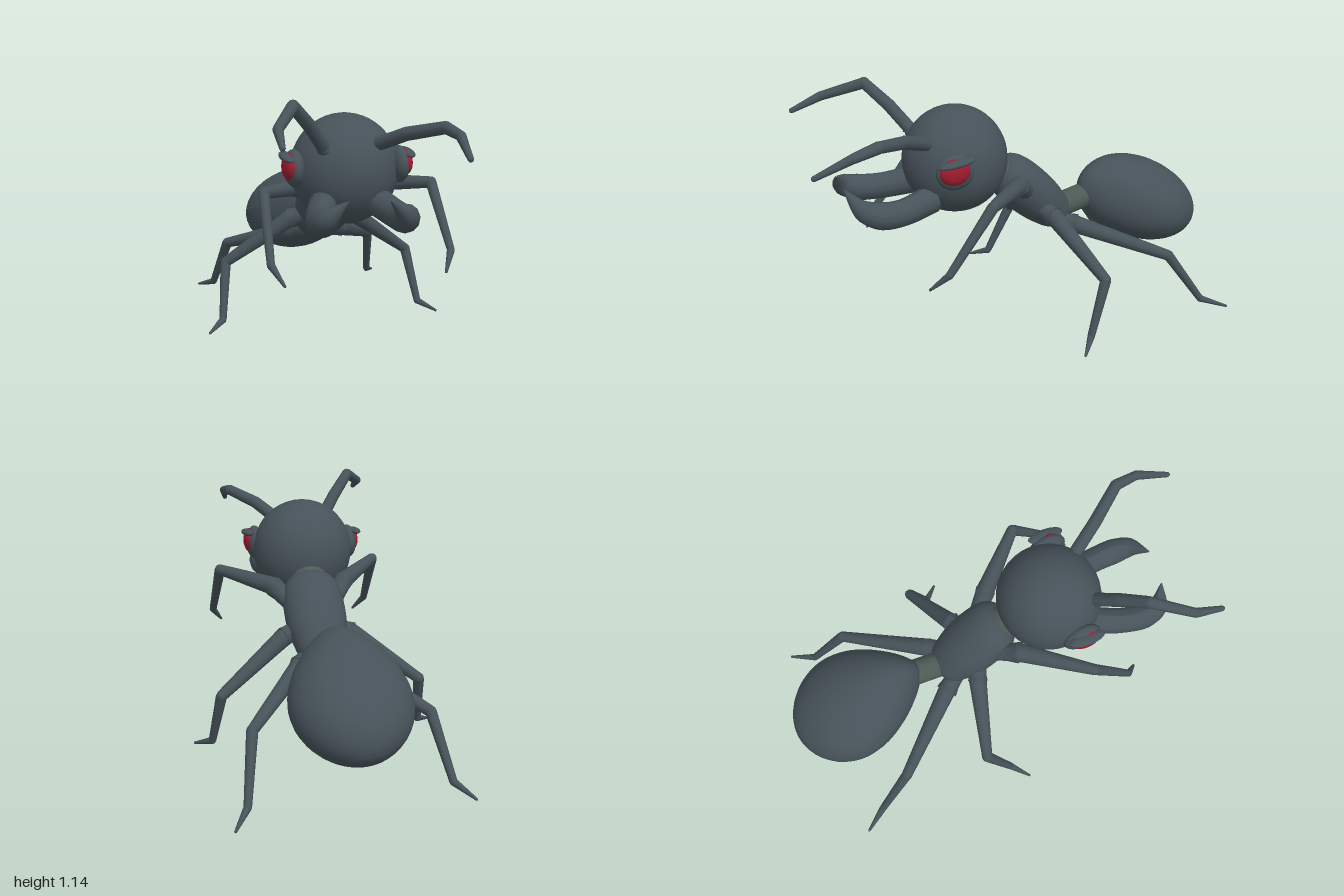
import * as THREE from 'three';

const shell = new THREE.MeshStandardMaterial({ color: 0x465259 });
shell.name = 'slate shell';
const red = new THREE.MeshStandardMaterial({ color: 0xa01c30 });
red.name = 'eye red';
const joint = new THREE.MeshStandardMaterial({ color: 0x4c5a55 });
joint.name = 'joint green grey';

const V = (p) => new THREE.Vector3(...p);

function add(parent, name, geometry, material = shell) {
  const mesh = new THREE.Mesh(geometry, material);
  mesh.name = name;
  parent.add(mesh);
  return mesh;
}

function ellipsoid(parent, name, center, radii, material = shell, segments = 24) {
  const mesh = add(parent, name, new THREE.SphereGeometry(1, segments, Math.ceil(segments * 0.7)), material);
  mesh.position.set(...center);
  mesh.scale.set(...radii);
  return mesh;
}

// Tapered rod between two points
function rod(parent, name, a, b, ra, rb, material = shell, sides = 10) {
  const from = V(a), dir = V(b).sub(from);
  const mesh = add(parent, name, new THREE.CylinderGeometry(rb, ra, dir.length(), sides), material);
  mesh.position.copy(from).addScaledVector(dir, 0.5);
  mesh.quaternion.setFromUnitVectors(new THREE.Vector3(0, 1, 0), dir.normalize());
  return mesh;
}

// Chain of rods with a ball at each bend
function limb(parent, name, points, radii) {
  const group = new THREE.Group();
  group.name = name;
  parent.add(group);
  points.forEach((p, i) => {
    if (i > 0) rod(group, 'segment', points[i - 1], p, radii[i - 1], radii[i]);
    ellipsoid(group, 'joint', p, [radii[i], radii[i], radii[i]], shell, 10);
  });
  return group;
}

// Curved tube whose rings shrink along its length
function taperedTube(parent, name, points, radii) {
  const curve = new THREE.CatmullRomCurve3(points.map(V));
  const rings = 24, sides = 12;
  const geo = new THREE.TubeGeometry(curve, rings, 1, sides);
  const pos = geo.attributes.position, v = new THREE.Vector3();
  for (let i = 0; i <= rings; i++) {
    const t = curve.getUtoTmapping(i / rings) * (radii.length - 1);
    const k = Math.min(Math.floor(t), radii.length - 2);
    const r = THREE.MathUtils.lerp(radii[k], radii[k + 1], t - k);
    const c = curve.getPointAt(i / rings);
    for (let j = 0; j <= sides; j++) {
      const n = i * (sides + 1) + j;
      v.fromBufferAttribute(pos, n).sub(c).multiplyScalar(r).add(c);
      pos.setXYZ(n, v.x, v.y, v.z);
    }
  }
  geo.computeVertexNormals();
  return add(parent, name, geo);
}

function buildBody(model) {
  // Abdomen: tilted ellipsoid, widest behind its middle
  const geo = new THREE.SphereGeometry(1, 36, 28);
  const pos = geo.attributes.position;
  for (let i = 0; i < pos.count; i++) {
    const u = pos.getY(i);
    pos.setXYZ(i, pos.getX(i) * 0.2 * (1.25 + 0.3 * u - 0.25 * u * u), u * 0.34, pos.getZ(i) * 0.2);
  }
  geo.computeVertexNormals();
  const abdomen = add(model, 'abdomen', geo);
  abdomen.position.set(0, 0.44, -0.68);
  abdomen.rotation.x = Math.atan2(-0.906, -0.423);

  // Thorax: capsule sloping down to the back
  const profile = new THREE.SplineCurve([
    [0, -0.06], [0.06, -0.045], [0.1, 0], [0.115, 0.08], [0.115, 0.2],
    [0.1, 0.3], [0.075, 0.37], [0, 0.4],
  ].map(([r, t]) => new THREE.Vector2(r, t))).getPoints(28);
  profile.forEach((p) => { p.x = Math.max(0, p.x); });
  const thorax = add(model, 'thorax', new THREE.LatheGeometry(profile, 28));
  thorax.position.set(0, 0.7, 0.03);
  thorax.rotation.x = Math.atan2(-0.72, -0.69);
  thorax.scale.x = 1.2;

  rod(model, 'waist', [0, 0.47, -0.22], [0, 0.51, -0.42], 0.06, 0.06, joint, 16);
  rod(model, 'neck', [0, 0.66, -0.02], [-0.01, 0.74, 0.14], 0.08, 0.09, joint, 16);
}

function buildHead(model) {
  const head = new THREE.Group();
  head.name = 'headGroup';
  model.add(head);
  ellipsoid(head, 'head', [-0.015, 0.81, 0.275], [0.235, 0.24, 0.235], shell, 36);

  // Eyes, with the head turned a little to its right
  for (const [s, x, y, z] of [[1, 0.2, 0.835, 0.365], [-1, -0.25, 0.828, 0.325]]) {
    ellipsoid(head, 'eyeSocket', [x, y, z], [0.042, 0.08, 0.088]);
    ellipsoid(head, 'eye', [x + s * 0.018, y + 0.008, z + 0.01], [0.036, 0.06, 0.07], red);
    const brow = ellipsoid(head, 'brow', [x + s * 0.033, y + 0.05, z + 0.005], [0.03, 0.016, 0.085], shell, 16);
    brow.rotation.x = 0.1;
  }

  // Antennae
  const feelers = {
    leftAntenna: [[0.07, 0.925, 0.42], [0.16, 0.99, 0.57], [0.268, 1.03, 0.72], [0.285, 1.01, 0.83], [0.26, 0.945, 0.985]],
    rightAntenna: [[-0.14, 0.915, 0.42], [-0.225, 1.025, 0.495], [-0.312, 1.115, 0.575], [-0.412, 1.05, 0.75], [-0.425, 0.998, 0.88]],
  };
  for (const [name, path] of Object.entries(feelers)) {
    limb(head, name, path, [0.03, 0.029, 0.026, 0.021, 0.012]);
    ellipsoid(head, 'antennaSocket', path[0], [0.036, 0.03, 0.036], shell, 14);
  }

  // Jaws curling inward to an upturned point
  const width = [0.062, 0.058, 0.06, 0.048, 0.002];
  taperedTube(head, 'leftJaw', [[0.09, 0.685, 0.43], [0.12, 0.66, 0.58], [0.12, 0.665, 0.68], [0.1, 0.695, 0.745], [0.015, 0.768, 0.8]], width);
  taperedTube(head, 'rightJaw', [[-0.15, 0.685, 0.42], [-0.205, 0.66, 0.57], [-0.225, 0.665, 0.67], [-0.215, 0.695, 0.735], [-0.145, 0.768, 0.78]], width);
}

function buildLegs(model) {
  const legs = {
    leftFrontLeg: [[0.08, 0.62, -0.04], [0.17, 0.7, 0.05], [0.385, 0.73, 0.28], [0.4, 0.47, 0.49], [0.352, 0.395, 0.56]],
    rightFrontLeg: [[-0.08, 0.62, -0.04], [-0.17, 0.7, 0.07], [-0.382, 0.73, 0.33], [-0.398, 0.47, 0.53], [-0.355, 0.395, 0.59]],
    leftMiddleLeg: [[0.08, 0.54, -0.1], [0.16, 0.51, -0.135], [0.458, 0.295, -0.24], [0.495, 0.045, -0.15], [0.568, 0.008, -0.08]],
    rightMiddleLeg: [[-0.08, 0.54, -0.1], [-0.16, 0.51, -0.135], [-0.458, 0.295, -0.22], [-0.495, 0.045, -0.11], [-0.568, 0.008, -0.04]],
    leftHindLeg: [[0.06, 0.44, -0.2], [0.12, 0.42, -0.28], [0.385, 0.295, -0.63], [0.435, 0.045, -0.8], [0.5, 0.008, -0.91]],
    rightHindLeg: [[-0.06, 0.44, -0.2], [-0.12, 0.42, -0.28], [-0.385, 0.295, -0.6], [-0.435, 0.045, -0.77], [-0.5, 0.008, -0.87]],
  };
  for (const [name, path] of Object.entries(legs)) {
    const leg = limb(model, name, path, [0.042, 0.042, 0.025, 0.017, 0.006]);
    // Angular hip collar around the root
    rod(leg, 'hipCollar', path[0], path[1], 0.03, 0.05, shell, 6).material = shell;
  }
}

export function createModel() {
  const model = new THREE.Group();
  model.name = 'ant';
  buildBody(model);
  buildHead(model);
  buildLegs(model);
  return model;
}
